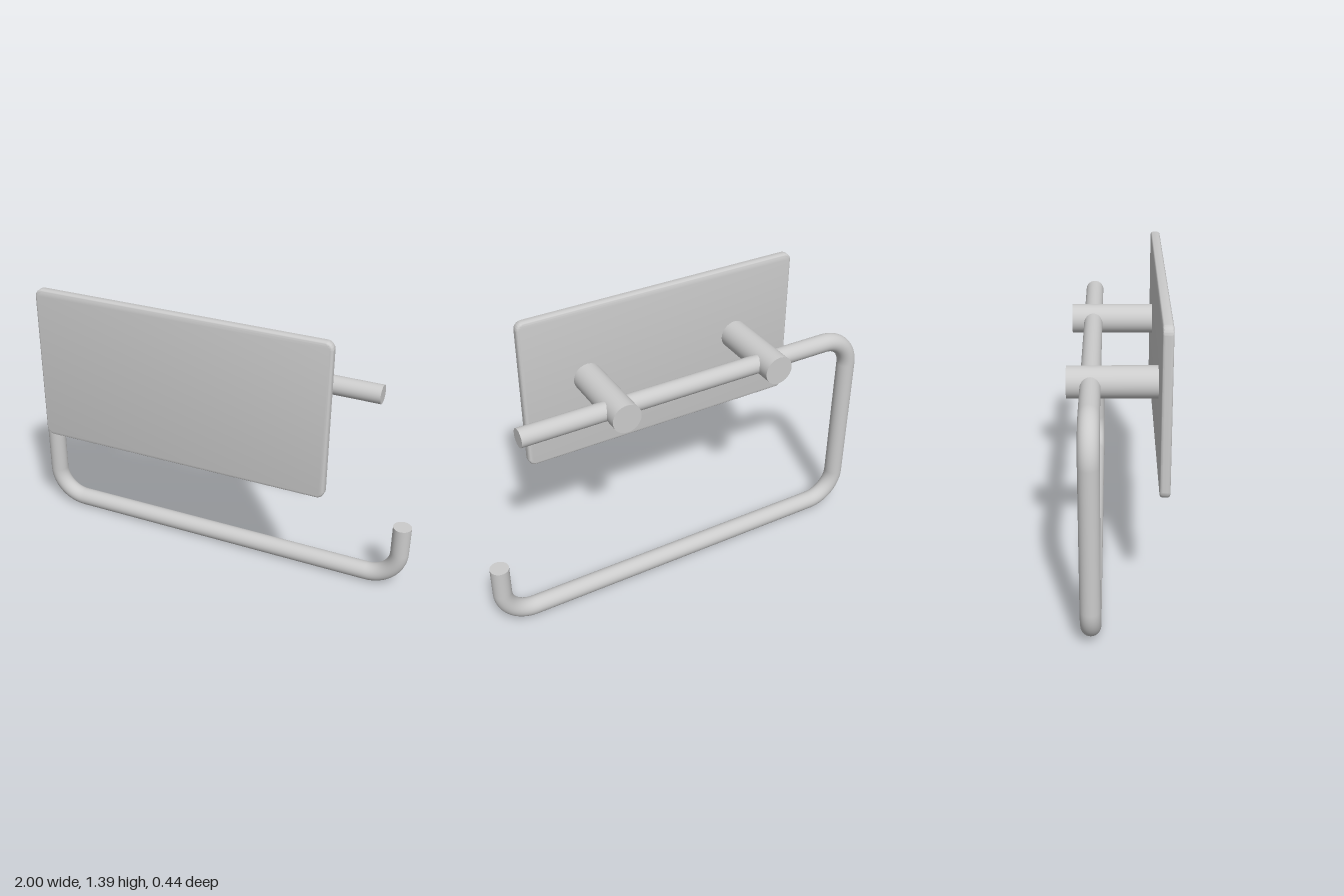
import * as THREE from 'three';
import { toCreasedNormals } from 'three/addons/utils/BufferGeometryUtils.js';

const material = new THREE.MeshStandardMaterial({ color: 0xcccccc });
const ROD = 0.045;      // rod radius
const BEND = 0.155;     // bend radius on the rod's centre line
const ROD_Z = -0.115;   // plane of the bent rod
const LEFT = -0.955, RIGHT = 0.955, BOTTOM = 0.045, TOP = 1.03;

function addMesh(parent, name, geometry) {
  const mesh = new THREE.Mesh(geometry, material);
  mesh.name = name;
  parent.add(mesh);
  return mesh;
}

// Straight cylinder between two points
function addBar(parent, name, from, to, radius, open = false) {
  const a = new THREE.Vector3(...from), b = new THREE.Vector3(...to);
  const mesh = addMesh(parent, name, new THREE.CylinderGeometry(radius, radius, a.distanceTo(b), 40, 1, open));
  mesh.position.copy(a).add(b).multiplyScalar(0.5);
  mesh.quaternion.setFromUnitVectors(new THREE.Vector3(0, 1, 0), b.sub(a).normalize());
  return mesh;
}

// Quarter bend about a centre, starting at the given angle
function addBend(parent, name, x, y, startAngle) {
  const mesh = addMesh(parent, name, new THREE.TorusGeometry(BEND, ROD, 40, 24, Math.PI / 2));
  mesh.position.set(x, y, 0);
  mesh.rotation.z = startAngle;
}

// Rounded rectangle centred on the origin
function roundedRect(w, h, r) {
  const x = w / 2 - r, y = h / 2 - r, s = new THREE.Shape();
  s.absarc(x, y, r, 0, Math.PI / 2);
  s.absarc(-x, y, r, Math.PI / 2, Math.PI);
  s.absarc(-x, -y, r, Math.PI, Math.PI * 1.5);
  s.absarc(x, -y, r, Math.PI * 1.5, Math.PI * 2);
  s.closePath();
  return s;
}

export function createModel() {
  const model = new THREE.Group();
  model.name = 'rollHolder';

  // Bent rod: top bar, side, lower arm and upturned tip
  const rod = new THREE.Group();
  rod.name = 'bentRod';
  rod.position.z = ROD_Z;
  model.add(rod);
  addBar(rod, 'topBar', [LEFT + BEND, TOP, 0], [0.8, TOP, 0], ROD);
  addBend(rod, 'upperBend', LEFT + BEND, TOP - BEND, Math.PI / 2);
  addBar(rod, 'sideBar', [LEFT, BOTTOM + BEND, 0], [LEFT, TOP - BEND, 0], ROD, true);
  addBend(rod, 'lowerBend', LEFT + BEND, BOTTOM + BEND, Math.PI);
  addBar(rod, 'lowerArm', [LEFT + BEND, BOTTOM, 0], [RIGHT - BEND, BOTTOM, 0], ROD, true);
  addBend(rod, 'tipBend', RIGHT - BEND, BOTTOM + BEND, Math.PI * 1.5);
  addBar(rod, 'upturnedTip', [RIGHT, BOTTOM + BEND, 0], [RIGHT, 0.35, 0], ROD);

  // Posts joining the rod to the plate
  for (const [name, x] of [['rightPost', -0.47], ['leftPost', 0.33]]) {
    addBar(model, name, [x, TOP, -0.218], [x, TOP, 0.18], 0.071);
  }

  // Plate with rounded corners and softened edges
  const bevel = 0.012, depth = 0.045;
  const plateGeometry = new THREE.ExtrudeGeometry(
    roundedRect(1.44 - 2 * bevel, 0.765 - 2 * bevel, 0.026),
    {
      depth: depth - 2 * bevel, curveSegments: 10,
      bevelEnabled: true, bevelSize: bevel, bevelThickness: bevel, bevelSegments: 4,
    },
  );
  const plate = addMesh(model, 'plate', toCreasedNormals(plateGeometry, 0.6));
  plate.position.set(-0.065, 1.01, 0.175 + bevel);

  return model;
}
